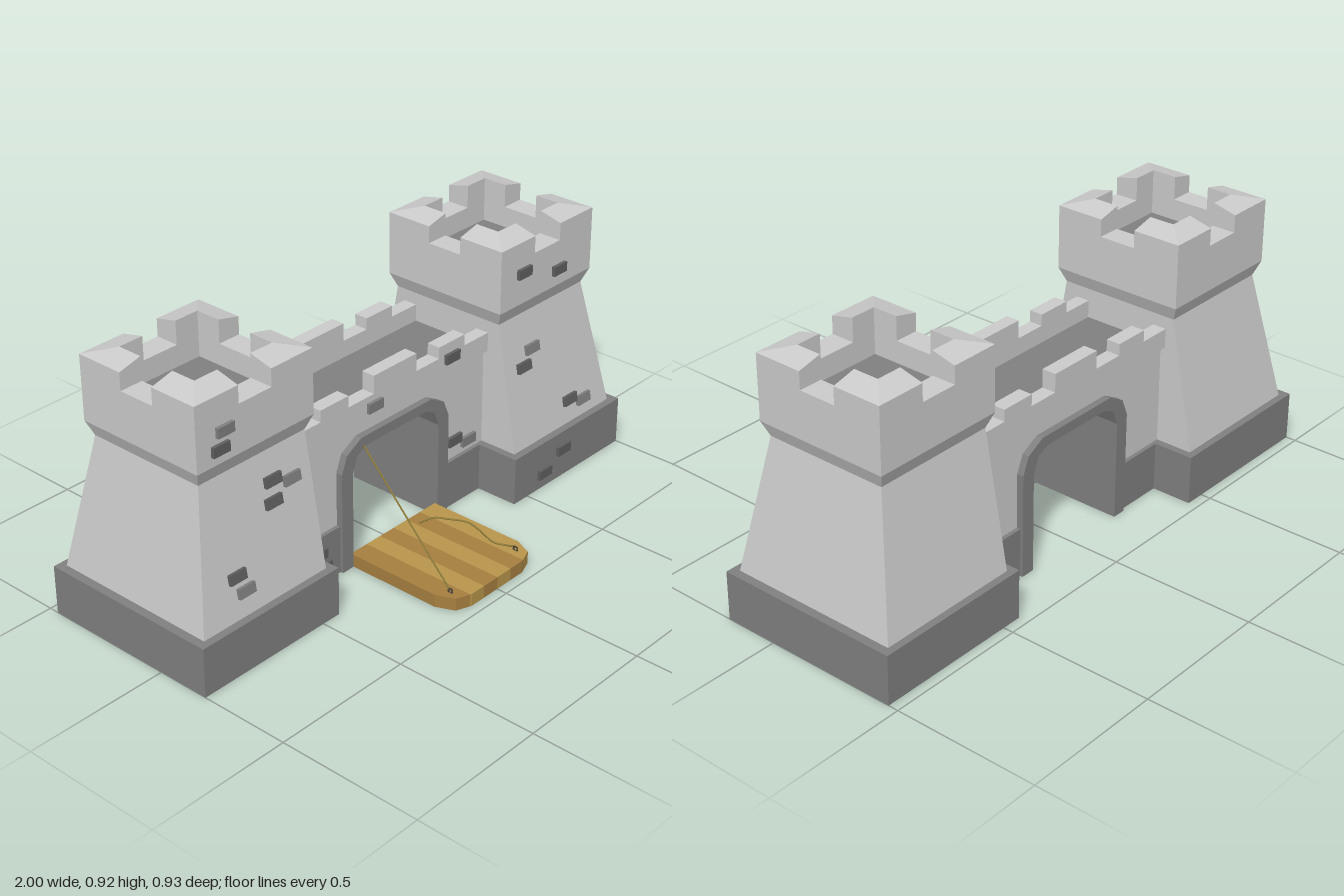
import * as THREE from 'three';
import { ConvexGeometry } from 'three/addons/geometries/ConvexGeometry.js';

const mat = (color) => new THREE.MeshStandardMaterial({ color, flatShading: true, side: THREE.DoubleSide });
const V = (x, y, z) => new THREE.Vector3(x, y, z);

export function createModel() {
  const stone = mat(0xcccccc), darkStone = mat(0x808080), brickDark = mat(0x606060);
  const woodA = mat(0xb8964c), woodB = mat(0xa67f40), ropeMat = mat(0x8c7a3a), iron = mat(0x4a4438);
  const group = new THREE.Group();

  function add(name, geometry, material, parent = group) {
    const mesh = new THREE.Mesh(geometry, material);
    mesh.name = name;
    parent.add(mesh);
    return mesh;
  }
  function box(name, x0, x1, y0, y1, z0, z1, material, parent) {
    const m = add(name, new THREE.BoxGeometry(x1 - x0, y1 - y0, z1 - z0), material, parent);
    m.position.set((x0 + x1) / 2, (y0 + y1) / 2, (z0 + z1) / 2);
    return m;
  }
  // Open skin through rectangular rings [x0, x1, z0, z1, y]
  function loft(rings) {
    const pos = [];
    const corners = ([x0, x1, z0, z1, y]) => [[x0, y, z1], [x1, y, z1], [x1, y, z0], [x0, y, z0]];
    for (let i = 0; i + 1 < rings.length; i++) {
      const a = corners(rings[i]), b = corners(rings[i + 1]);
      for (let k = 0; k < 4; k++) {
        const n = (k + 1) % 4;
        pos.push(...a[k], ...a[n], ...b[n], ...a[k], ...b[n], ...b[k]);
      }
    }
    const g = new THREE.BufferGeometry();
    g.setAttribute('position', new THREE.Float32BufferAttribute(pos, 3));
    g.computeVertexNormals();
    return g;
  }
  function shapeOf(points) {
    return new THREE.Shape(points.map(([x, y]) => new THREE.Vector2(x, y)));
  }
  function extrude(shape, z0, z1) {
    return new THREE.ExtrudeGeometry(shape, { depth: z1 - z0, bevelEnabled: false }).translate(0, 0, z0);
  }
  const mirrored = (pts) => [...pts, ...pts.slice().reverse().map(([x, y]) => [-x, y])];

  // Towers: hollow plinth, tapering body, flared head with corner merlons
  const cx = 0.6725, cz = -0.1375, half = 0.2375, well = 0.155, gap = 0.066;
  for (const s of [-1, 1]) {
    const tower = new THREE.Group();
    tower.name = s > 0 ? 'leftTower' : 'rightTower';
    group.add(tower);
    const ring = (a, b, z0, z1, y) => [Math.min(s * a, s * b), Math.max(s * a, s * b), z0, z1, y];
    const square = (h, y) => ring(cx - h, cx + h, cz - h, cz + h, y);
    const foot = ring(0.457, 0.97, -0.44, 0.16, 0.17);
    add('towerBase', loft([ring(0.43, 1, -0.465, 0.187, 0), ring(0.43, 1, -0.465, 0.187, 0.17), foot]), darkStone, tower);
    add('towerBody', loft([foot, square(0.2175, 0.625), square(half, 0.675), square(half, 0.835),
      square(well, 0.835), square(well, 0.76)]), stone, tower);
    box('towerFloor', s * cx - well, s * cx + well, 0.75, 0.762, cz - well, cz + well, darkStone, tower);
    // Two mitred pieces per corner, tops rising inward
    for (let q = 0; q < 4; q++) {
      for (const e of [-1, 1]) {
        const pts = [];
        for (const [d, far, top] of [[half, half, 0.895], [well, well, 0.915]]) {
          for (const y of [0.835, top]) pts.push(V(e * gap, y, d), V(e * far, y, d));
        }
        const m = add('towerMerlon', new ConvexGeometry(pts), stone, tower);
        m.position.set(s * cx, 0, cz);
        m.rotation.y = q * Math.PI / 2;
      }
    }
  }

  // Gate wall with arched passage
  const midArch = [[0.23, 0], [0.23, 0.36], [0.205, 0.415], [0.16, 0.437]];
  add('gateWall', extrude(shapeOf([[-0.46, 0], ...mirrored(midArch).reverse(), [0.46, 0], [0.46, 0.515], [-0.46, 0.515]]), -0.308, 0.018), stone);
  const outerArch = [[0.255, 0], [0.255, 0.36], [0.23, 0.42], [0.165, 0.455]];
  const innerArch = [[0.205, 0], [0.205, 0.345], [0.183, 0.4], [0.14, 0.42]];
  add('archFrame', extrude(shapeOf([...mirrored(outerArch), ...mirrored(innerArch).reverse()]), -0.332, 0.042), darkStone);
  for (const s of [-1, 1]) {
    box('wallBase', Math.min(s * 0.25, s * 0.44), Math.max(s * 0.25, s * 0.44), 0, 0.17, -0.322, 0.032, darkStone);
  }
  box('walkway', -0.46, 0.46, 0.5, 0.522, -0.28, -0.005, darkStone);

  // Overhanging parapets with merlons on both sides
  for (const [z0, z1] of [[-0.325, -0.275], [-0.012, 0.036]]) {
    box('parapet', -0.46, 0.46, 0.515, 0.582, z0, z1, stone);
    for (const [x0, x1, top] of [[-0.34, -0.215, 0.622], [-0.1, 0.1, 0.645], [0.21, 0.335, 0.622]]) {
      box('parapetMerlon', x0, x1, 0.582, top, z0, z1, stone);
    }
  }

  // Raised bricks on the front, leaning with the surface behind them
  const bricks = [
    [-0.8, 0.78], [-0.82, 0.725], [-0.615, 0.53], [-0.54, 0.505], [-0.625, 0.465], [-0.81, 0.305], [-0.785, 0.25],
    [-0.355, 0.11], [-0.335, 0.057], [-0.1, 0.543], [0.27, 0.568], [0.31, 0.237], [0.38, 0.21],
    [0.55, 0.787], [0.735, 0.735], [0.6, 0.495], [0.55, 0.447], [0.765, 0.25], [0.835, 0.227], [0.685, 0.107], [0.585, 0.057]];
  bricks.forEach(([x, y], i) => {
    const onTower = Math.abs(x) > 0.45;
    const sloped = onTower && y > 0.17 && y < 0.625;
    let z = y > 0.5 ? 0.036 : y > 0.17 ? 0.018 : 0.032;
    if (onTower) z = y > 0.625 ? 0.1 : sloped ? 0.16 - (y - 0.17) * 0.176 : 0.187;
    const m = add('brick', new THREE.BoxGeometry(0.066, 0.034, 0.024), i % 3 ? brickDark : darkStone);
    m.position.set(x, y, z);
    if (sloped) m.rotation.x = -0.174;
  });

  // Drawbridge planks, clipped at the front corners
  const bridge = new THREE.Group();
  bridge.name = 'drawbridge';
  group.add(bridge);
  const frontZ = (x) => {
    const a = Math.abs(x);
    if (a < 0.125) return 0.463;
    return a < 0.178 ? 0.463 - (a - 0.125) * 0.38 : 0.443 - (a - 0.178) * 2.3;
  };
  const cuts = [-0.205, -0.13, -0.065, 0, 0.065, 0.13, 0.205];
  for (let i = 0; i < 6; i++) {
    const a = cuts[i], b = cuts[i + 1];
    const front = [a, -0.178, -0.125, 0.125, 0.178, b].filter((x) => x >= a && x <= b);
    const shape = shapeOf([[a, -0.03], ...front.map((x) => [x, -frontZ(x)]), [b, -0.03]]);
    add('plank', extrude(shape, 0, 0.044).rotateX(-Math.PI / 2), i % 2 ? woodA : woodB, bridge);
  }

  // Ropes: one taut, one fallen slack, each tied to an iron ring
  const rope = (name, pts, n) => add(name, new THREE.TubeGeometry(new THREE.CatmullRomCurve3(pts), n, 0.003, 6), ropeMat, bridge);
  rope('tautRope', [V(-0.163, 0.054, 0.405), V(-0.163, 0.43, 0.05)], 2);
  rope('slackRope', [V(0.158, 0.056, 0.4), V(0.158, 0.047, 0.37), V(0.145, 0.047, 0.33), V(0.17, 0.047, 0.25),
    V(0.182, 0.047, 0.19), V(0.155, 0.047, 0.13), V(0.13, 0.047, 0.09), V(0.075, 0.047, 0.075)], 40);
  for (const x of [-0.163, 0.158]) {
    const r = add('ropeRing', new THREE.TorusGeometry(0.008, 0.003, 6, 12), iron, bridge);
    r.position.set(x, 0.05, 0.408);
    r.rotation.y = Math.PI / 2;
  }
  return group;
}
